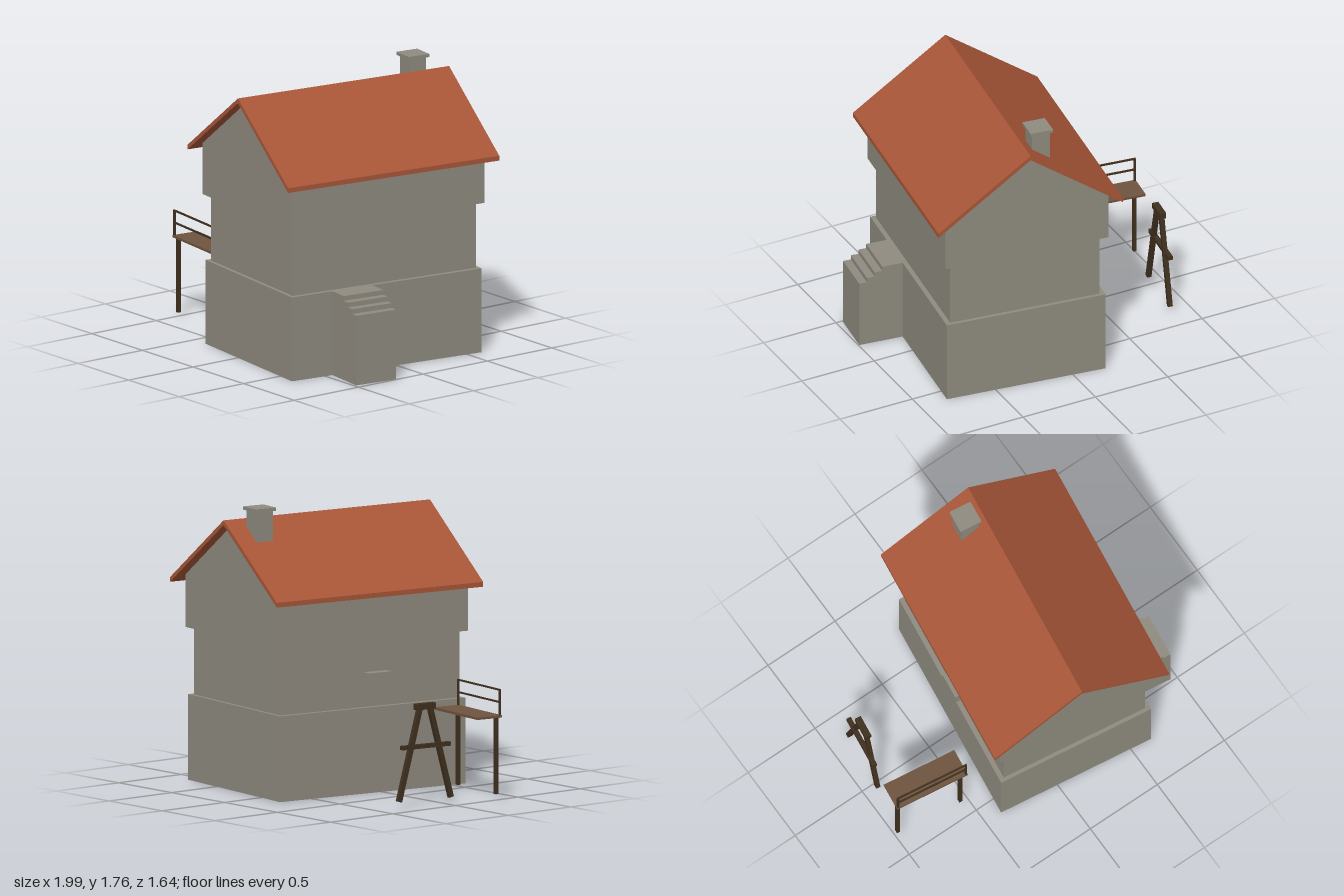
import * as THREE from 'three';

const mat = (name, color, side = THREE.FrontSide) => {
  const m = new THREE.MeshStandardMaterial({ color, side });
  m.name = name;
  return m;
};

export function createModel() {
  const stone = mat('stone', 0x8f8b7f, THREE.DoubleSide);
  const tile = mat('roofTile', 0xa85638);
  const plank = mat('plankWood', 0x6e543f);
  const timber = mat('darkTimber', 0x40301f);

  const model = new THREE.Group();
  model.name = 'houseWithScaffold';

  // every group shares the same slight turn
  const addGroup = (name, x, z) => {
    const g = new THREE.Group();
    g.name = name;
    g.position.set(x, 0, z);
    g.rotation.y = -0.13;
    model.add(g);
    return g;
  };
  const add = (parent, name, geometry, material) => {
    const m = new THREE.Mesh(geometry, material);
    m.name = name;
    parent.add(m);
    return m;
  };
  // box given by its min and max corners, optionally without a bottom
  const box = (parent, name, material, [x0, y0, z0], [x1, y1, z1], open = false) => {
    const g = new THREE.BoxGeometry(x1 - x0, y1 - y0, z1 - z0);
    if (open) {
      const index = Array.from(g.index.array);
      index.splice(18, 6);
      g.setIndex(index);
      g.clearGroups();
    }
    g.translate((x0 + x1) / 2, (y0 + y1) / 2, (z0 + z1) / 2);
    return add(parent, name, g, material);
  };
  // outline in x and y, drawn out evenly along z
  const prism = (parent, name, material, points, halfLength) => {
    const shape = new THREE.Shape(points.map(([x, y]) => new THREE.Vector2(x, y)));
    const g = new THREE.ExtrudeGeometry(shape, { depth: halfLength * 2, bevelEnabled: false });
    g.translate(0, 0, -halfLength);
    return add(parent, name, g, material);
  };

  // house floors, the ground floor hollow from below
  const house = addGroup('house', 0.215, 0);
  box(house, 'groundFloor', stone, [-0.517, 0, -0.673], [0.517, 0.53, 0.673], true);
  box(house, 'middleFloor', stone, [-0.487, 0.53, -0.65], [0.487, 0.945, 0.65], true);
  prism(house, 'upperFloorWithGables', stone,
    [[-0.53, 0.945], [0.53, 0.945], [0.53, 1.268], [0, 1.648], [-0.53, 1.268]], 0.686);
  prism(house, 'roof', tile,
    [[0, 1.68], [-0.6, 1.25], [-0.6, 1.22], [0, 1.65], [0.6, 1.22], [0.6, 1.25]], 0.75);

  // chimney with cap
  const cx = -0.116, cz = -0.562;
  box(house, 'chimney', stone, [cx - 0.058, 1.48, cz - 0.058], [cx + 0.058, 1.745, cz + 0.058]);
  box(house, 'chimneyCap', stone, [cx - 0.073, 1.742, cz - 0.073], [cx + 0.073, 1.762, cz + 0.073]);

  // stone block standing out of the left-hand wall
  box(house, 'wallBlock', stone, [-0.545, 0.65, -0.043], [-0.45, 0.745, 0.12]);

  // side stair: landing and three steps
  for (let i = 0; i < 4; i++) {
    const x0 = i === 0 ? 0.517 : 0.6 + i * 0.05;
    box(house, i === 0 ? 'landing' : 'step' + i, stone,
      [x0, 0, 0.102], [0.65 + i * 0.05, 0.53 - i * 0.03, 0.385], true);
  }

  // scaffold platform with legs and railing along its front edge
  const scaffold = addGroup('scaffold', -0.747, 0.315);
  box(scaffold, 'deck', plank, [-0.243, 0.505, -0.089], [0.243, 0.52, 0.089]);
  for (const x of [-0.225, 0.205])
    box(scaffold, 'scaffoldLeg', timber, [x - 0.011, 0.033, 0.049], [x + 0.011, 0.505, 0.071]);
  for (const x of [-0.234, 0.234])
    box(scaffold, 'railPost', timber, [x - 0.006, 0.52, 0.075], [x + 0.006, 0.68, 0.087]);
  for (const y of [0.6, 0.676])
    box(scaffold, 'handRail', timber, [-0.24, y - 0.005, 0.076], [0.24, y + 0.005, 0.086]);

  // trestle: two splayed legs, cross bar and top block
  const trestle = addGroup('trestle', -0.888, -0.15);
  for (const s of [-1, 1]) {
    const leg = add(trestle, 'trestleLeg', new THREE.BoxGeometry(0.028, 0.6, 0.03), timber);
    leg.position.set(0, 0.33, s * 0.111);
    leg.rotation.x = -s * 0.26;
  }
  box(trestle, 'crossBar', timber, [-0.024, 0.36, -0.175], [0.006, 0.385, 0.175]);
  box(trestle, 'topBlock', timber, [-0.02, 0.598, -0.07], [0.02, 0.635, 0.07]);

  return model;
}
